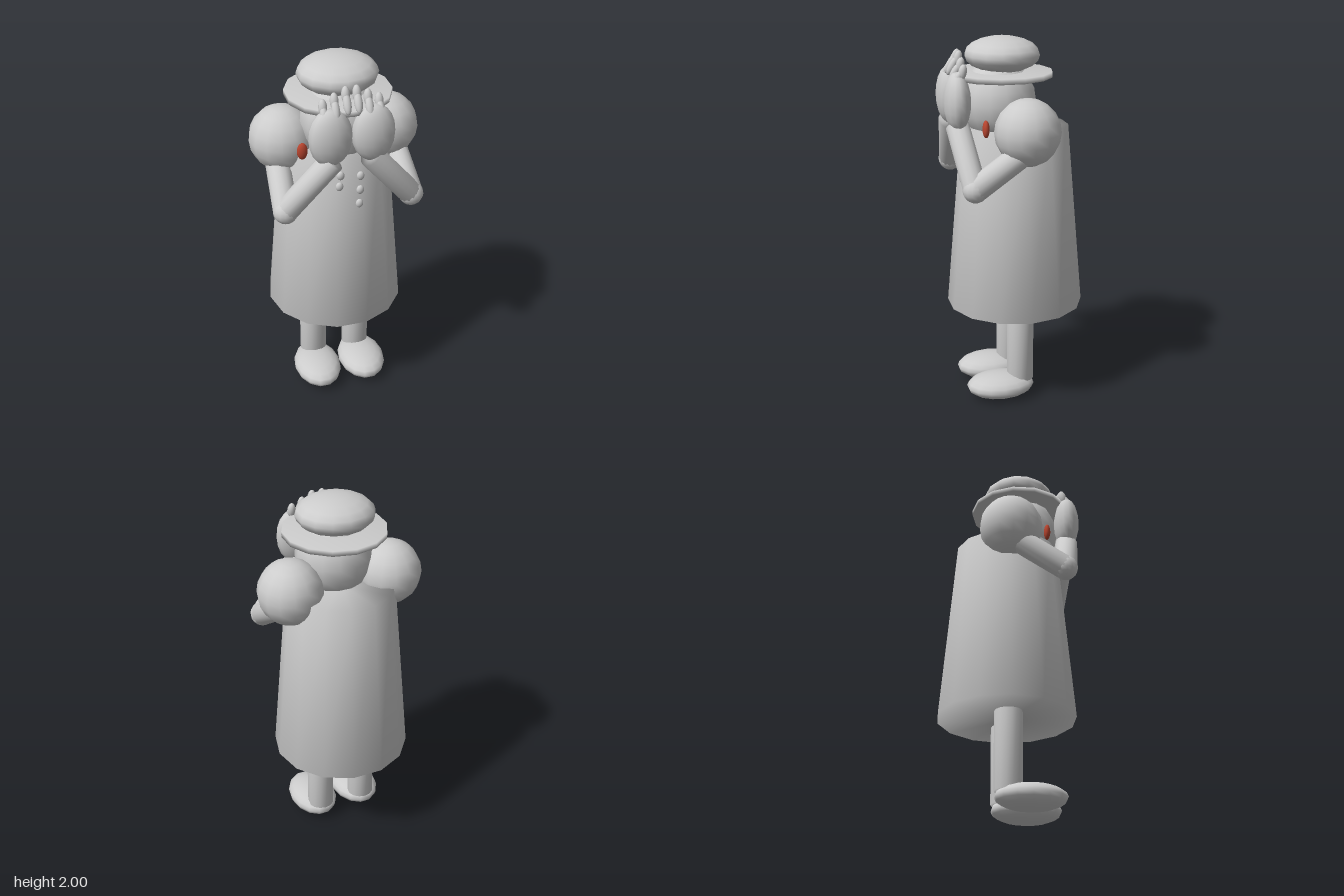
import * as THREE from 'three';
import { mergeVertices } from 'three/addons/utils/BufferGeometryUtils.js';

const SIDES = 14;

export function createModel() {
  const model = new THREE.Group();
  model.name = 'figure';
  const grey = new THREE.MeshStandardMaterial({ color: 0xcccccc });
  grey.name = 'plain grey';
  const red = new THREE.MeshStandardMaterial({ color: 0xb8452f });
  red.name = 'brick red';

  const add = (name, geometry, material = grey) => {
    const mesh = new THREE.Mesh(geometry, material);
    mesh.name = name;
    model.add(mesh);
    return mesh;
  };

  // Share vertices so that the shading rolls softly over the cap edges
  const soften = (geometry) => {
    geometry.deleteAttribute('normal');
    geometry.deleteAttribute('uv');
    const merged = mergeVertices(geometry, 1e-4);
    merged.computeVertexNormals();
    return merged;
  };

  const ellipsoid = (name, [x, y, z], [rx, ry, rz], material) => {
    const mesh = add(name, new THREE.SphereGeometry(1, SIDES, 10), material);
    mesh.position.set(x, y, z);
    mesh.scale.set(rx, ry, rz);
    return mesh;
  };

  const UP = new THREE.Vector3(0, 1, 0);
  const aim = (mesh, a, b) => {
    mesh.position.copy(a).add(b).multiplyScalar(0.5);
    mesh.quaternion.setFromUnitVectors(UP, b.clone().sub(a).normalize());
  };
  const limb = (name, from, to, radius) => {
    const a = new THREE.Vector3(...from), b = new THREE.Vector3(...to);
    aim(add(name, soften(new THREE.CylinderGeometry(radius, radius, a.distanceTo(b), SIDES))), a, b);
  };
  const fingerBone = (name, from, to, radius) => {
    const a = new THREE.Vector3(...from), b = new THREE.Vector3(...to);
    const mesh = ellipsoid(name, [0, 0, 0], [radius, a.distanceTo(b) / 2, radius]);
    aim(mesh, a, b);
  };

  // Coat
  const coat = soften(new THREE.CylinderGeometry(0.287, 0.374, 1, SIDES).rotateY(Math.PI / 2));
  add('coat', coat).position.set(0, 1.027, -0.02);

  // Head and hat
  ellipsoid('head', [0, 1.66, 0.07], [0.205, 0.22, 0.2]);
  const brim = soften(new THREE.CylinderGeometry(0.275, 0.275, 0.028, SIDES));
  add('hatBrim', brim).position.set(0, 1.805, 0.055);
  ellipsoid('hatCrown', [0, 1.905, 0.048], [0.2, 0.095, 0.21]).rotation.y = Math.PI / 2;

  for (const [side, s] of [['left', 1], ['right', -1]]) {
    const part = (name) => side + name;

    // Legs and feet
    limb(part('Leg'), [s * 0.127, 0.1, -0.02], [s * 0.127, 0.6, -0.02], 0.075);
    ellipsoid(part('Foot'), [s * 0.133, 0.07, 0.095], [0.133, 0.07, 0.19]);

    // Puffed sleeve, bent arm and raised hand
    ellipsoid(part('Sleeve'), [s * 0.28, 1.545, -0.018], [0.173, 0.176, 0.173]);
    const elbow = [s * 0.335, 1.275, 0.27];
    limb(part('UpperArm'), [s * 0.315, 1.47, -0.02], elbow, 0.065);
    ellipsoid(part('Elbow'), elbow, [0.066, 0.066, 0.066]);
    limb(part('Forearm'), elbow, [s * 0.1, 1.555, 0.31], 0.063);
    ellipsoid(part('Palm'), [s * 0.11, 1.685, 0.312], [0.112, 0.155, 0.07]);

    // Fingers curling back at the tips
    for (const [x, top] of [[0.028, 1.937], [0.085, 1.91], [0.142, 1.883]]) {
      fingerBone(part('FingerBase'), [s * x, top - 0.125, 0.345], [s * x, top - 0.03, 0.29], 0.021);
      fingerBone(part('FingerTip'), [s * x, top - 0.085, 0.298], [s * x, top, 0.28], 0.022);
    }

    // Ear drops
    ellipsoid(part('EarDrop'), [s * 0.222, 1.56, 0.187], [0.028, 0.046, 0.018], red);
  }

  // Coat buttons, set on the sloping front
  for (const [x, y] of [[-0.045, 1.435], [-0.052, 1.375], [0.06, 1.42], [0.057, 1.342], [0.052, 1.265]]) {
    const front = 0.975 * (0.374 - 0.087 * (y - 0.527)) - 0.02;
    ellipsoid('button', [x, y, front], [0.02, 0.025, 0.015]);
  }

  return model;
}
